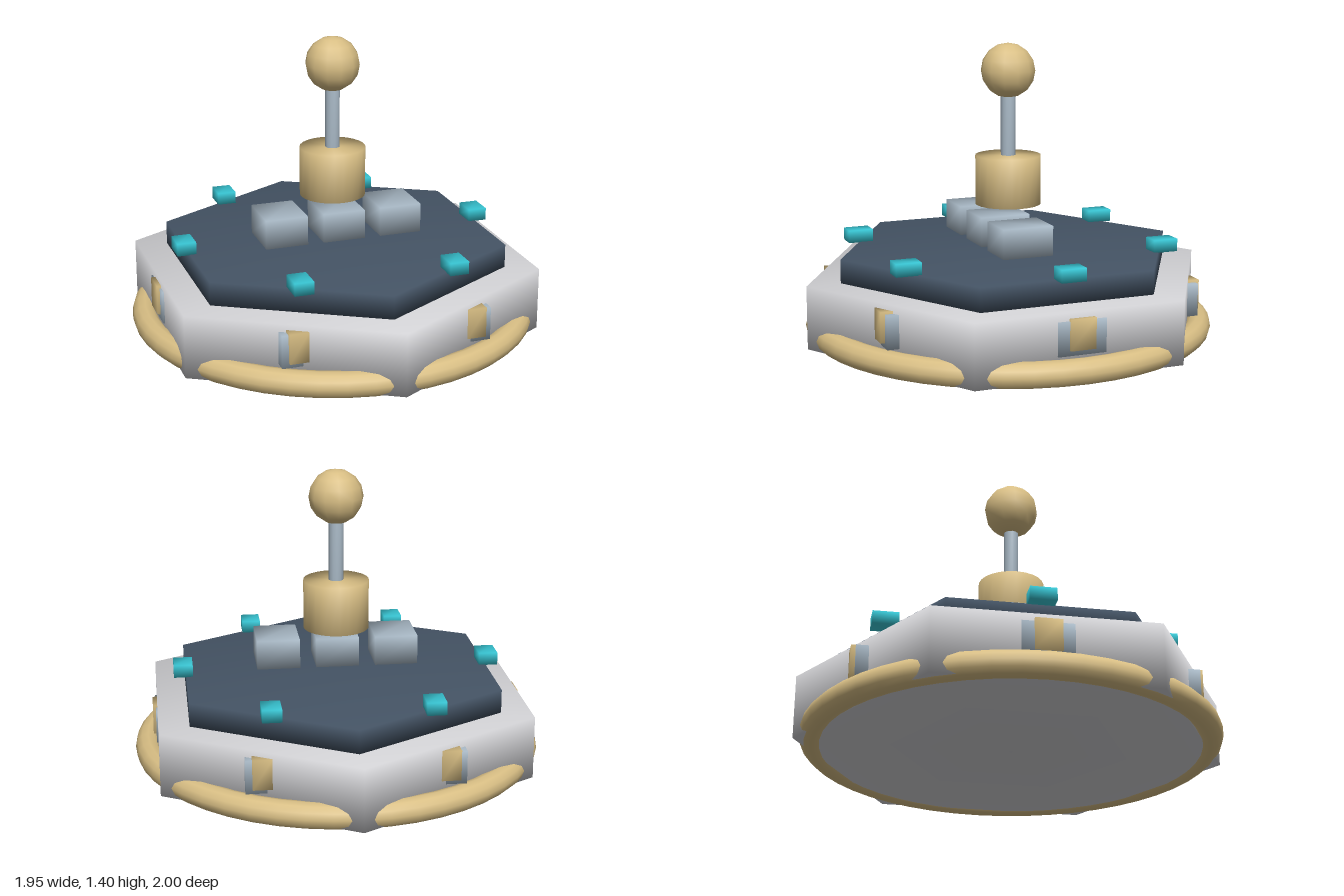
import * as THREE from 'three';
import { mergeVertices } from 'three/addons/utils/BufferGeometryUtils.js';

const material = (name, color) => {
  const m = new THREE.MeshStandardMaterial({ color });
  m.name = name;
  return m;
};

// Share corner vertices so the shading runs smoothly over every edge
function soften(geometry) {
  geometry.deleteAttribute('normal');
  geometry.deleteAttribute('uv');
  const merged = mergeVertices(geometry, 1e-4);
  merged.computeVertexNormals();
  return merged;
}

export function createModel() {
  const group = new THREE.Group();
  const paleGrey = material('pale grey', 0xd0d0d3);
  const slate = material('slate blue', 0x445364);
  const brass = material('brass', 0xd8be84);
  const steel = material('steel blue', 0xa9b9c6);
  const cyan = material('cyan', 0x38c6d4);

  const add = (name, geometry, mat, x, y, z) => {
    const mesh = new THREE.Mesh(soften(geometry), mat);
    mesh.name = name;
    mesh.position.set(x, y, z);
    group.add(mesh);
    return mesh;
  };
  const prism = (r, h, sides) => new THREE.CylinderGeometry(r, r, h, sides);
  const box = (w, h, d) => new THREE.BoxGeometry(w, h, d);

  // Hexagonal base, deck and the ring around the foot
  add('base', prism(1, 0.3, 6), paleGrey, 0, 0.163, 0);
  add('deck', prism(0.836, 0.112, 6), slate, 0, 0.369, 0);
  add('footRing', new THREE.TorusGeometry(0.915, 0.06, 12, 48).rotateX(Math.PI / 2), brass, 0, 0.06, 0);

  // Six lamps and side fittings, all square to the axes
  for (let i = 0; i < 6; i++) {
    const a = (i * Math.PI) / 3;
    const c = Math.cos(a), s = Math.sin(a);
    add('lamp', box(0.09, 0.06, 0.12), cyan, c * 0.737, 0.453, s * 0.737);
    add('sideBlock', box(0.235, 0.155, 0.23), steel, c * 0.756, 0.198, s * 0.756);
    add('sideLatch', box(0.088, 0.142, 0.12), brass, c * 0.843, 0.216, s * 0.843);
  }

  // Row of consoles hovering above the deck
  for (const x of [-0.283, 0, 0.283]) {
    add('console', box(0.205, 0.14, 0.245), steel, x, 0.52, 0.053);
  }

  // Central mast with collar and ball
  add('collar', prism(0.157, 0.235, 24), brass, 0, 0.748, 0);
  add('mast', prism(0.035, 0.38, 12), steel, 0, 1.0, 0);
  add('ball', new THREE.SphereGeometry(0.13, 12, 8), brass, 0, 1.27, 0);

  return group;
}
